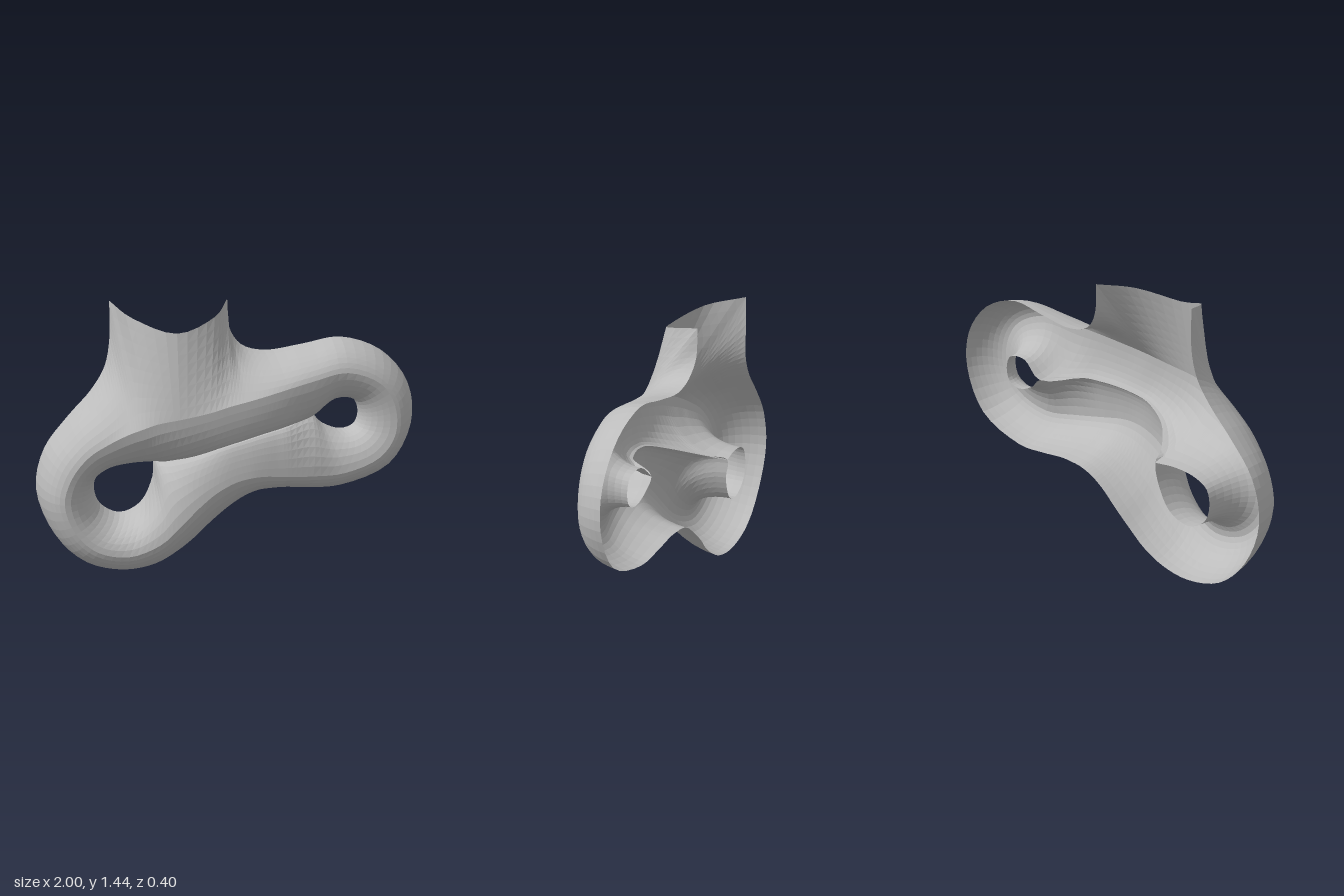
import * as THREE from 'three';

// Matching stations run clockwise around the shell, starting at the neck's upper corner.
const NECK_RIM = [[-.59, 1.44, -.19], [-.49, 1.395, .005], [-.28, 1.335, .105], [-.08, 1.385, 0], [.01, 1.43, -.19]];
const SIDE = [
  [.01, 1.43, -.19], [.02, 1.28, -.19], [.08, 1.19, -.18], [.2, 1.155, -.18],
  [.4, 1.18, -.18], [.6, 1.21, -.18], [.82, 1.13, -.18], [.97, .95, -.18], [.995, .74, -.18], [.88, .51, -.18],
  [.6, .4, -.18], [.42, .405, -.18], [.28, .42, -.18], [.21, .418, -.18], [.14, .41, -.18], [.07, .38, -.175],
  [0, .33, -.17], [-.1, .24, -.17], [-.19, .15, -.16], [-.28, .08, -.16], [-.4, .02, -.155], [-.57, 0, -.155],
  [-.77, .06, -.155], [-.92, .22, -.155], [-1, .46, -.16], [-.95, .68, -.16], [-.82, .85, -.165], [-.7, .98, -.17],
  [-.625, 1.1, -.18], [-.595, 1.24, -.19], [-.59, 1.44, -.19],
];
const RIDGE = [
  [-.47, .87, .18], [-.39, .9, .192], [-.28, .92, .2], [-.13, .945, .19], [-.02, .97, .173],
  [.06, .985, .162], [.14, 1, .147], [.24, 1.02, .125],
  [.4, 1.05, .085], [.6, 1.075, .035], [.78, 1, .01], [.86, .88, 0], [.87, .72, 0], [.79, .6, .01],
  [.6, .53, .03], [.42, .54, .08], [.3, .555, .11], [.23, .565, .125], [.16, .575, .14], [.09, .575, .153],
  [.01, .56, .16], [-.09, .51, .165], [-.18, .43, .155], [-.27, .33, .14], [-.38, .22, .12], [-.54, .155, .1],
  [-.7, .19, .1], [-.81, .3, .1], [-.86, .46, .1], [-.82, .6, .105], [-.73, .72, .125], [-.63, .79, .145],
  [-.57, .825, .16], [-.52, .85, .17],
];
// The groove is shared by the upper and lower lobes and joins the two holes.
const GROOVE = [
  [-.38, .6, -.19], [-.33, .62, -.09], [-.2, .68, .06], [-.05, .74, .115], [.06, .767, .105],
  [.15, .785, .08], [.22, .795, .055], [.3, .805, .015], [.45, .805, -.16],
];
const RIGHT_HOLE = [[.56, .89, -.16], [.67, .88, -.16], [.7, .81, -.16], [.68, .74, -.16], [.61, .715, -.16], [.51, .75, -.16]];
const LEFT_HOLE = [
  [-.39, .49, -.18], [-.46, .35, -.17], [-.57, .305, -.16], [-.67, .36, -.16], [-.7, .45, -.16],
  [-.68, .54, -.16], [-.6, .59, -.17], [-.48, .605, -.18], [-.44, .603, -.185], [-.41, .601, -.188],
];
const INNER = [...GROOVE, ...RIGHT_HOLE, ...[...GROOVE].reverse(), ...LEFT_HOLE];

const curve = (pts, closed) => new THREE.CatmullRomCurve3(pts.map(p => new THREE.Vector3(...p)), closed);

// Sheet of quads through the points given by at(i, j).
function sheet(cols, rows, at) {
  const pos = [], index = [];
  for (let i = 0; i <= cols; i++) for (let j = 0; j <= rows; j++) pos.push(...at(i, j));
  for (let i = 0; i < cols; i++) for (let j = 0; j < rows; j++) {
    const a = i * (rows + 1) + j, b = a + rows + 1;
    index.push(a, a + 1, b, b, a + 1, b + 1);
  }
  const g = new THREE.BufferGeometry();
  g.setAttribute('position', new THREE.Float32BufferAttribute(pos, 3));
  g.setIndex(index);
  g.computeVertexNormals();
  return g;
}

export function createModel() {
  const group = new THREE.Group();
  const grey = new THREE.MeshStandardMaterial({ color: 0xbcbcbc, side: THREE.DoubleSide, flatShading: true });
  grey.name = 'grey';

  const N = RIDGE.length, NECK = NECK_RIM.length - 1, STEP = 4, HALF = 8;
  const rim = curve(NECK_RIM, false), side = curve(SIDE, false);
  const ridge = curve(RIDGE, true), inner = curve(INNER, true);
  const mix = THREE.MathUtils.lerp;

  // Outer wall (with the neck) up to the ridge, then down into the groove and holes.
  const shell = new THREE.Mesh(sheet(N * STEP, HALF * 2, (i, j) => {
    const s = (i / STEP) % N, t = s / N;
    const o = s <= NECK ? rim.getPoint(s / NECK) : side.getPoint((s - NECK) / (N - NECK));
    const r = ridge.getPoint(t), q = inner.getPoint(t);
    const outer = j <= HALF, a = (outer ? j : j - HALF) / HALF;
    const sin = Math.sin(a * Math.PI / 2), cos = 1 - Math.cos(a * Math.PI / 2);
    if (!outer) return [mix(r.x, q.x, sin), mix(r.y, q.y, sin), mix(r.z, q.z, cos)];
    // The wall is round except at the neck, which runs straight down to the ridge.
    const fromNeck = Math.max(0, Math.min(s - NECK, N - s));
    const straight = mix(1, .2, THREE.MathUtils.smoothstep(fromNeck, 0, 4));
    const fxy = mix(cos, a, straight);
    return [mix(o.x, r.x, fxy), mix(o.y, r.y, fxy), mix(o.z, r.z, mix(sin, a, straight))];
  }), grey);
  shell.name = 'neckedShell';
  group.add(shell);
  return group;
}
